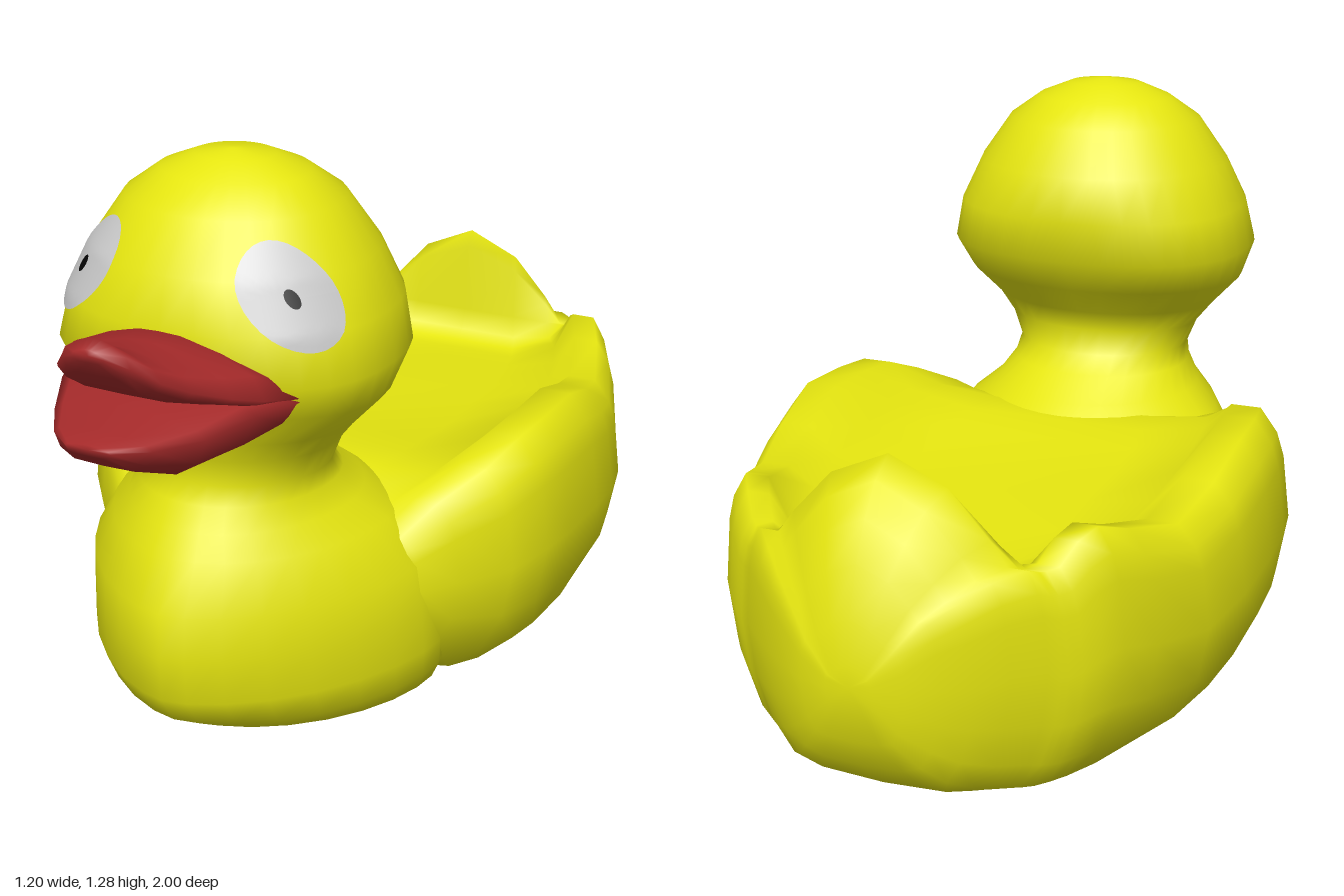
import * as THREE from 'three';

const yellow = new THREE.MeshStandardMaterial({ color: 0xe6e610 });
const red = new THREE.MeshStandardMaterial({ color: 0xa52a2a });
const grey = new THREE.MeshStandardMaterial({ color: 0xcccccc });
const black = new THREE.MeshStandardMaterial({ color: 0x050505 });

function part(name, geometry, material) {
  const mesh = new THREE.Mesh(geometry, material);
  mesh.name = name;
  return mesh;
}

// Skin over a list of closed rings, each an array of Vector3, capped at both ends
function loft(rings) {
  const n = rings[0].length, last = rings.length - 1, pos = [], idx = [];
  rings.forEach(r => r.forEach(p => pos.push(p.x, p.y, p.z)));
  for (let i = 0; i < last; i++) {
    for (let j = 0; j < n; j++) {
      const a = i * n + j, b = i * n + (j + 1) % n;
      idx.push(a, a + n, b, b, a + n, b + n);
    }
  }
  for (const i of [0, last]) {
    const c = rings[i].reduce((s, p) => s.add(p), new THREE.Vector3()).divideScalar(n);
    const k = pos.length / 3;
    pos.push(c.x, c.y, c.z);
    for (let j = 0; j < n; j++) {
      const a = i * n + j, b = i * n + (j + 1) % n;
      if (i === 0) idx.push(k, a, b); else idx.push(k, b, a);
    }
  }
  const g = new THREE.BufferGeometry();
  g.setAttribute('position', new THREE.Float32BufferAttribute(pos, 3));
  g.setIndex(idx);
  g.computeVertexNormals();
  return g;
}

// Closed ring at depth z from a half outline running bottom centre to top centre
function mirrorRing(half, z) {
  const right = half.map(([x, y]) => new THREE.Vector3(x, y, z));
  const left = half.slice(1, -1).reverse().map(([x, y]) => new THREE.Vector3(-x, y, z));
  return right.concat(left);
}

// Head, neck and chest from top to bottom:
// y, centre z, half width, front z, back z, squareness (2 is an ellipse)
const headRings = [
  [1.29, 0.44, 0.01, 0.45, 0.43, 2], [1.28, 0.44, 0.085, 0.51, 0.36, 2],
  [1.25, 0.44, 0.16, 0.57, 0.29, 2], [1.2, 0.44, 0.23, 0.645, 0.22, 2],
  [1.1, 0.44, 0.3, 0.715, 0.15, 2], [1.0, 0.44, 0.345, 0.745, 0.13, 2.2],
  [0.9, 0.45, 0.365, 0.745, 0.15, 2.4], [0.82, 0.46, 0.34, 0.7, 0.2, 2.1],
  [0.75, 0.46, 0.275, 0.68, 0.265, 2], [0.7, 0.45, 0.235, 0.66, 0.285, 2],
  [0.64, 0.45, 0.21, 0.65, 0.275, 2], [0.6, 0.43, 0.217, 0.67, 0.23, 2],
  [0.55, 0.4, 0.25, 0.7, 0.15, 1.9], [0.5, 0.36, 0.31, 0.73, 0.08, 1.8],
  [0.4, 0.32, 0.385, 0.785, -0.05, 1.65], [0.3, 0.3, 0.405, 0.79, -0.1, 1.6],
  [0.2, 0.3, 0.41, 0.785, -0.1, 1.6], [0.13, 0.28, 0.4, 0.74, -0.1, 1.65],
  [0.08, 0.26, 0.375, 0.66, -0.1, 1.7], [0.04, 0.24, 0.32, 0.5, -0.1, 1.8],
  [0.008, 0.16, 0.2, 0.28, -0.05, 2],
];

function ringPoint([y, cz, rx, front, back, squareness], angle, grow = 0) {
  const shape = v => Math.sign(v) * Math.abs(v) ** (2 / squareness);
  const c = shape(Math.cos(angle));
  const rz = (c > 0 ? front - cz : cz - back) + grow;
  return new THREE.Vector3((rx + grow) * shape(Math.sin(angle)), y, cz + rz * c);
}

function headGeometry() {
  return loft(headRings.map(r =>
    Array.from({ length: 32 }, (_, j) => ringPoint(r, j / 32 * Math.PI * 2))));
}

// Point on the head at any height
function headPoint(y, angle, grow) {
  const i = headRings.findIndex(r => r[0] <= y);
  const a = headRings[i - 1], b = headRings[i];
  const t = (a[0] - y) / (a[0] - b[0]);
  return ringPoint(a.map((v, k) => v + (b[k] - v) * t), angle, grow);
}

// Oval patch that follows the curve of the head
function eyePatch(side, halfAngle, halfHeight, grow) {
  const g = new THREE.RingGeometry(0.001, 1, 32, 8);
  const p = g.attributes.position;
  for (let i = 0; i < p.count; i++) {
    const dy = p.getY(i) * halfHeight;
    const angle = side * (0.82 - 0.9 * dy) + p.getX(i) * halfAngle;
    const v = headPoint(1.07 + dy, angle, grow);
    p.setXYZ(i, v.x, v.y, v.z);
  }
  g.computeVertexNormals();
  return g;
}

// Body with raised wing rims, dished back and tail: z, half width, bottom, rim, back height
const bodySections = [
  [0.42, 0.31, 0.26, 0.4, 0.39], [0.36, 0.39, 0.18, 0.46, 0.44],
  [0.3, 0.455, 0.11, 0.525, 0.5], [0.2, 0.535, 0.045, 0.58, 0.53],
  [0.1, 0.575, 0.018, 0.622, 0.53], [0, 0.59, 0.008, 0.63, 0.52],
  [-0.15, 0.6, 0.008, 0.635, 0.505], [-0.3, 0.585, 0.01, 0.59, 0.5],
  [-0.45, 0.55, 0.012, 0.55, 0.49], [-0.6, 0.49, 0.02, 0.59, 0.48],
  [-0.68, 0.445, 0.025, 0.62, 0.475], [-0.72, 0.415, 0.03, 0.6, 0.48],
  [-0.75, 0.385, 0.035, 0.555, 0.5], [-0.77, 0.362, 0.04, 0.55, 0.55],
  [-0.78, 0.35, 0.043, 0.55, 0.72], [-0.8, 0.33, 0.05, 0.56, 0.76],
  [-0.86, 0.275, 0.075, 0.55, 0.725], [-0.91, 0.22, 0.11, 0.52, 0.665],
  [-0.95, 0.17, 0.16, 0.49, 0.59], [-0.985, 0.11, 0.23, 0.43, 0.49],
  [-1, 0.05, 0.31, 0.375, 0.4],
];
const hull = [[0, 0], [0.5, 0.015], [0.73, 0.06], [0.87, 0.18], [0.96, 0.36],
  [1, 0.58], [0.97, 0.82], [0.94, 0.91], [0.87, 1], [0.75, 1]];

function bodyGeometry() {
  return loft(bodySections.map(([z, w, bottom, rim, back]) => {
    const half = hull.map(([x, y]) => [x * w, bottom + y * (rim - bottom)]);
    // The tail is domed, the back is dished
    const [outer, inner] = back > rim ? [0.75, 0.28] : [0.3, 0];
    half.push([0.64 * w, back + outer * (rim - back)], [0.38 * w, back + inner * (rim - back)], [0, back]);
    return mirrorRing(half, z);
  }));
}

// Lens-shaped loft for the bill: z, half width, bottom, side edge height, top
function billGeometry(sections) {
  return loft(sections.map(([z, w, bottom, edge, top]) => mirrorRing([
    [0, bottom], [0.6 * w, bottom + 0.04 * (edge - bottom)], [0.88 * w, bottom + 0.4 * (edge - bottom)],
    [w, edge], [0.88 * w, edge + 0.45 * (top - edge)], [0.5 * w, edge + 0.8 * (top - edge)],
    [0.2 * w, edge + 0.97 * (top - edge)], [0, top],
  ], z)));
}

const upperBill = [
  [0.985, 0.035, 1.02, 1.03, 1.045], [0.96, 0.075, 0.985, 1.01, 1.06],
  [0.92, 0.115, 0.945, 0.975, 1.03], [0.87, 0.15, 0.915, 0.945, 1.01],
  [0.8, 0.195, 0.89, 0.915, 1.0], [0.74, 0.23, 0.87, 0.895, 1.0],
  [0.65, 0.267, 0.855, 0.875, 0.95],
];
const lowerBill = [
  [1, 0.05, 0.84, 0.853, 0.862], [0.95, 0.11, 0.8, 0.85, 0.872],
  [0.86, 0.17, 0.763, 0.85, 0.885], [0.76, 0.22, 0.765, 0.87, 0.905],
  [0.67, 0.258, 0.79, 0.87, 0.9], [0.62, 0.265, 0.82, 0.865, 0.88],
];

export function createModel() {
  const model = new THREE.Group();
  model.name = 'bathDuck';
  model.add(part('bodyWingsAndTail', bodyGeometry(), yellow));
  model.add(part('headNeckAndChest', headGeometry(), yellow));
  model.add(part('upperBill', billGeometry(upperBill), red));
  model.add(part('lowerBill', billGeometry(lowerBill), red));
  for (const [side, label] of [[1, 'left'], [-1, 'right']]) {
    model.add(part(label + 'Eye', eyePatch(side, 0.34, 0.1, 0.005), grey));
    model.add(part(label + 'Pupil', eyePatch(side, 0.05, 0.018, 0.008), black));
  }
  return model;
}
